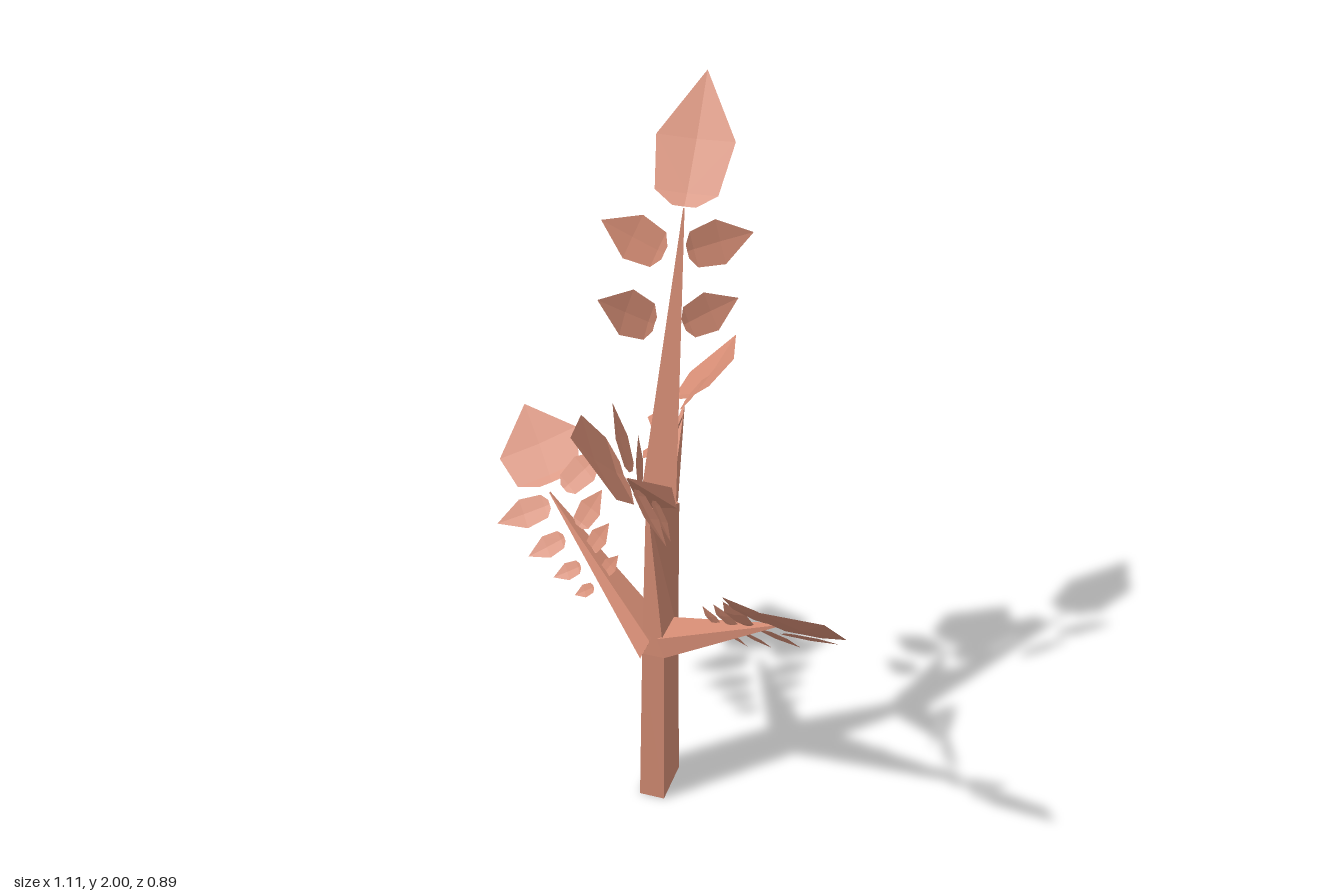
import * as THREE from 'three';

const bark = new THREE.MeshStandardMaterial({ color: 0xd48c74, flatShading: true, side: THREE.DoubleSide });
bark.name = 'terracotta';
const V = (p) => new THREE.Vector3(...p);

function build(name, positions) {
  const geo = new THREE.BufferGeometry();
  geo.setAttribute('position', new THREE.Float32BufferAttribute(positions, 3));
  geo.computeVertexNormals();
  const mesh = new THREE.Mesh(geo, bark);
  mesh.name = name;
  return mesh;
}

// Four-sided limb through a list of quad sections, closed at both ends
function limb(name, sections) {
  const out = [];
  const quad = (a, b, c, d) => out.push(...a, ...b, ...d, ...b, ...c, ...d);
  for (let k = 0; k < sections.length - 1; k++) {
    const s = sections[k], t = sections[k + 1];
    for (let i = 0; i < 4; i++) {
      const j = (i + 1) % 4;
      quad(s[i], s[j], t[j], t[i]);
    }
  }
  const s = sections[0], t = sections[sections.length - 1];
  quad(s[3], s[2], s[1], s[0]);
  quad(t[0], t[1], t[2], t[3]);
  return build(name, out);
}

// Section shrunk to almost nothing around a tip
function point(section, tip, k = 0.04) {
  const c = [0, 1, 2].map((a) => section.reduce((sum, p) => sum + p[a] / 4, 0));
  return section.map((p) => p.map((v, a) => tip[a] + (v - c[a]) * k));
}
const taper = (name, base, tip) => limb(name, [base, point(base, tip)]);

// Pointed leaf, lightly folded along its middle: [distance along, share of half width]
const OUTLINE = [[0, 0.3], [0.1, 0.8], [0.5, 1], [1, 0]];
function leaf(name, base, tip, normal, ratio) {
  const b = V(base), d = V(tip).sub(b), len = d.length(), dir = d.clone().normalize();
  const n = V(normal);
  n.addScaledVector(dir, -n.dot(dir)).normalize();
  const side = new THREE.Vector3().crossVectors(n, dir);
  const half = len * ratio / 2, out = [];
  const at = ([t, w], s) => b.clone().addScaledVector(d, t)
    .addScaledVector(side, s * w * half)
    .addScaledVector(n, s === 0 ? -0.1 * w * half : 0).toArray();
  for (let i = 0; i < OUTLINE.length - 1; i++) {
    const p = OUTLINE[i], q = OUTLINE[i + 1];
    for (const s of [-1, 1]) {
      const [m0, m1, e0, e1] = [at(p, 0), at(q, 0), at(p, s), at(q, s)];
      if (s < 0) out.push(...m0, ...m1, ...e1, ...m0, ...e1, ...e0);
      else out.push(...m0, ...e1, ...m1, ...m0, ...e0, ...e1);
    }
  }
  return build(name, out);
}

// One big end leaf and pairs of small leaves: [base, tip]
function spray(name, normal, end, endRatio, leaves, ratio = 0.56) {
  const g = new THREE.Group();
  g.name = name;
  g.add(leaf('endLeaf', ...end, normal, endRatio));
  for (const [b, t, n = normal] of leaves) {
    const start = V(b).lerp(V(t), 0.05).toArray();
    g.add(leaf('sideLeaf', start, t, n, ratio));
  }
  return g;
}

export function createModel() {
  const model = new THREE.Group();
  model.name = 'tree';

  // Trunk
  const foot = [[-0.042, 0, 0.056], [0.031, 0, 0.058], [0.036, 0, -0.082], [-0.04, 0, -0.084]];
  const fork = [[-0.035, 0.515, 0.048], [0.028, 0.515, 0.05], [0.034, 0.515, -0.07], [-0.035, 0.515, -0.072]];
  const crown = [[-0.035, 1, 0.005], [-0.012, 1, 0.06], [0.055, 1, 0.005], [0.01, 1, -0.018]];
  model.add(limb('lowerTrunk', [foot, fork]));
  model.add(limb('upperTrunk', [fork, crown]));
  const leader = [[-0.038, 1, 0.055], [0.053, 1, 0.03], [0.035, 1, -0.02], [-0.03, 1, -0.01]];
  model.add(taper('leader', leader, [0, 1.72, -0.21]));

  // Two low branches, half a turn apart
  for (const turn of [0, Math.PI]) {
    const g = new THREE.Group();
    g.name = turn ? 'rightBranch' : 'leftBranch';
    g.add(taper('stem', [[0.028, 0.515, 0.05], [0.034, 0.515, -0.07], [0.01, 0.572, -0.06], [0.005, 0.572, 0.045]], [0.38, 0.822, 0.2]));
    g.add(spray('leaves', [0.05, 0.69, -0.72], [[0.386, 0.836, 0.23], [0.515, 0.985, 0.38]], 0.97, [
      [[0.35, 0.825, 0.213], [0.243, 0.94, 0.285]],
      [[0.282, 0.753, 0.147], [0.225, 0.86, 0.2]],
      [[0.238, 0.71, 0.107], [0.185, 0.797, 0.137]],
      [[0.187, 0.667, 0.065], [0.14, 0.738, 0.077]],
      [[0.372, 0.79, 0.195], [0.515, 0.735, 0.13]],
      [[0.308, 0.735, 0.125], [0.41, 0.67, 0.09]],
      [[0.248, 0.68, 0.08], [0.328, 0.632, 0.065]],
      [[0.2, 0.642, 0.045], [0.258, 0.602, 0.042]],
    ]));
    g.rotation.y = turn;
    model.add(g);
  }

  // High front branch
  model.add(taper('frontBranch', [[-0.03, 1, 0.055], [0.055, 1, 0.03], [0.04, 1.04, 0], [-0.02, 1.04, 0.02]], [0, 1.23, 0.27]));
  model.add(spray('frontLeaves', [0.75, 0.61, -0.27], [[-0.003, 1.245, 0.276], [-0.08, 1.425, 0.433]], 1, [
    [[0, 1.215, 0.232], [-0.07, 1.365, 0.16]],
    [[0, 1.135, 0.163], [-0.02, 1.255, 0.115]],
    [[0.015, 1.2, 0.255], [0.12, 1.105, 0.345]],
    [[0.035, 1.115, 0.17], [0.1, 1.045, 0.24]],
  ]));

  // High back branch
  model.add(taper('backBranch', [[0.05, 1, 0], [-0.03, 1, -0.01], [-0.02, 1.04, 0.01], [0.04, 1.04, 0.01]], [0, 1.155, -0.23]));
  model.add(spray('backLeaves', [-0.69, 0.73, 0.08], [[0.003, 1.17, -0.24], [0.085, 1.268, -0.44]], 1, [
    [[0, 1.165, -0.2], [0.085, 1.29, -0.165]],
    [[0, 1.11, -0.105], [0.04, 1.215, -0.08]],
    [[-0.015, 1.14, -0.2], [-0.12, 1.06, -0.29]],
    [[-0.035, 1.08, -0.11], [-0.1, 1.02, -0.18]],
  ]));

  // Top leaves
  model.add(spray('topLeaves', [0, 0.61, 0.79], [[0, 1.725, -0.21], [0, 2, -0.415]], 0.59, [
    [[-0.022, 1.622, -0.145], [-0.18, 1.71, -0.108], [0.5, 0.5, 0.7]],
    [[-0.022, 1.47, -0.06], [-0.147, 1.565, 0.03], [0.5, 0.5, 0.7]],
    [[0.022, 1.638, -0.135], [0.175, 1.675, -0.22], [0.4, 0.2, 0.9]],
    [[0.03, 1.462, -0.085], [0.15, 1.51, -0.185], [0.4, 0.2, 0.9]],
  ], 0.68));
  return model;
}
